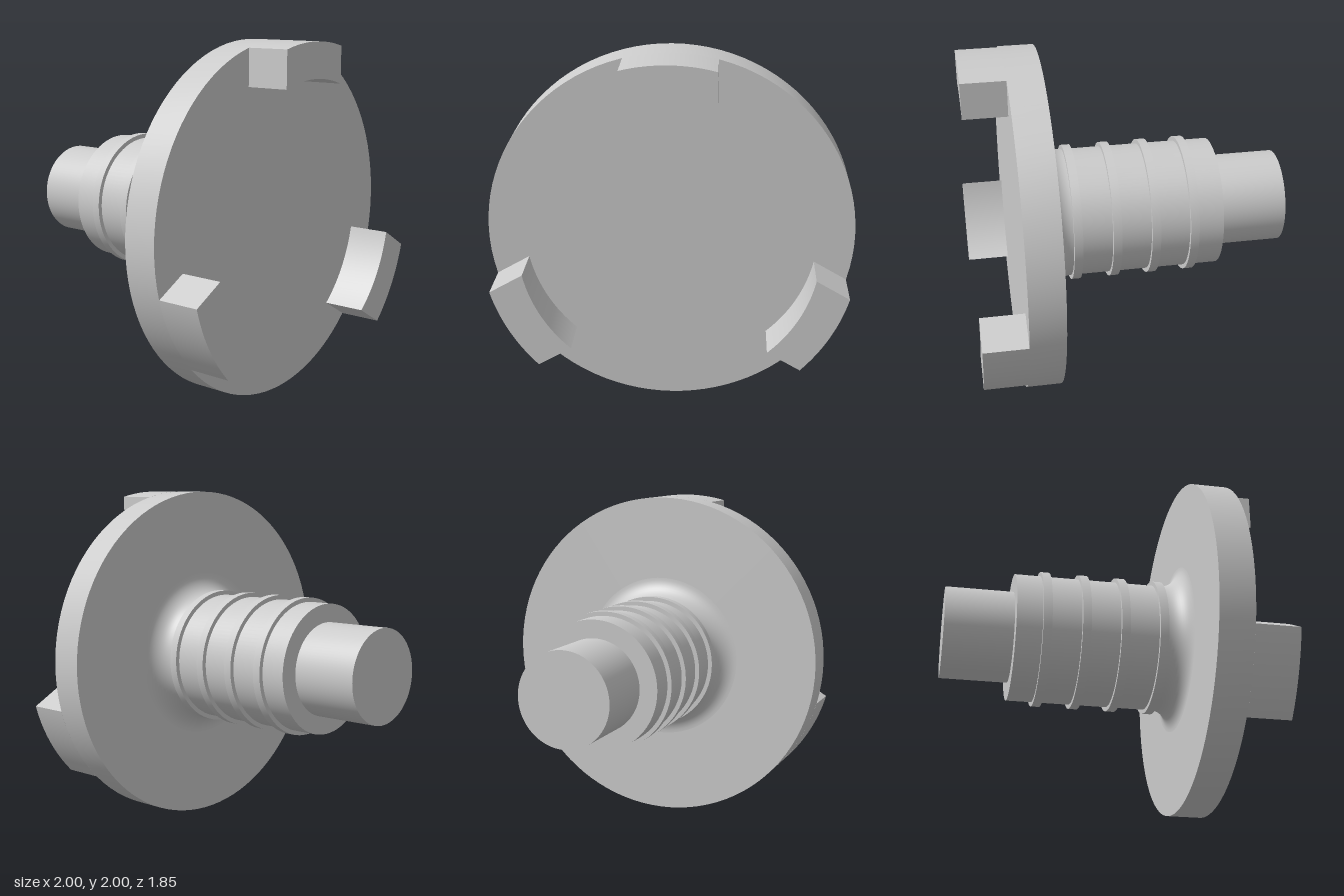
import * as THREE from 'three';
import { toCreasedNormals } from 'three/addons/utils/BufferGeometryUtils.js';

const material = new THREE.MeshStandardMaterial({ color: 0xcccccc });
const CREASE = Math.PI / 6;

// Turned part around the z axis; profile is [radius, z] with z ascending
function turned(name, profile) {
  const points = profile.map(([r, z]) => new THREE.Vector2(r, z));
  const geometry = new THREE.LatheGeometry(points, 96).rotateX(Math.PI / 2);
  const mesh = new THREE.Mesh(toCreasedNormals(geometry, CREASE), material);
  mesh.name = name;
  return mesh;
}

// Parallel-sided lug between two arcs, at the top of the disc
function lugGeometry() {
  const half = 0.25, outer = 1, inner = 0.8;
  const a = Math.acos(half / outer), b = Math.acos(half / inner);
  const shape = new THREE.Shape();
  shape.absarc(0, 0, outer, a, Math.PI - a, false);
  shape.absarc(0, 0, inner, Math.PI - b, b, true);
  shape.closePath();
  const geometry = new THREE.ExtrudeGeometry(shape, { depth: 0.25, bevelEnabled: false, curveSegments: 12 });
  return toCreasedNormals(geometry, CREASE);
}

export function createModel() {
  const model = new THREE.Group();
  model.name = 'flangedShaft';
  const body = new THREE.Group();
  body.name = 'body';
  body.position.y = 1;
  model.add(body);

  // Flange disc
  body.add(turned('flangeDisc', [[0, 0.475], [1, 0.475], [1, 0.675], [0, 0.675]]));

  // Stepped shaft with a fillet where it meets the disc
  const profile = [[0, -0.925], [0.27, -0.925], [0.27, -0.525], [0.375, -0.525]];
  for (let i = 0; i <= 12; i++) {
    const t = (i / 12) * Math.PI / 2;
    profile.push([0.5 - 0.125 * Math.cos(t), 0.35 + 0.125 * Math.sin(t)]);
  }
  body.add(turned('shaft', profile));

  // Four raised ribs around the shaft
  for (let i = 0; i < 4; i++) {
    const z = -0.375 + i * 0.225;
    body.add(turned('rib' + (i + 1), [[0.37, z], [0.4, z], [0.4, z + 0.05], [0.37, z + 0.05]]));
  }

  // Three drive lugs on the front of the disc
  const geometry = lugGeometry();
  for (let i = 0; i < 3; i++) {
    const lug = new THREE.Mesh(geometry, material);
    lug.name = 'lug' + (i + 1);
    lug.position.z = 0.675;
    lug.rotation.z = (i * Math.PI * 2) / 3;
    body.add(lug);
  }
  return model;
}
